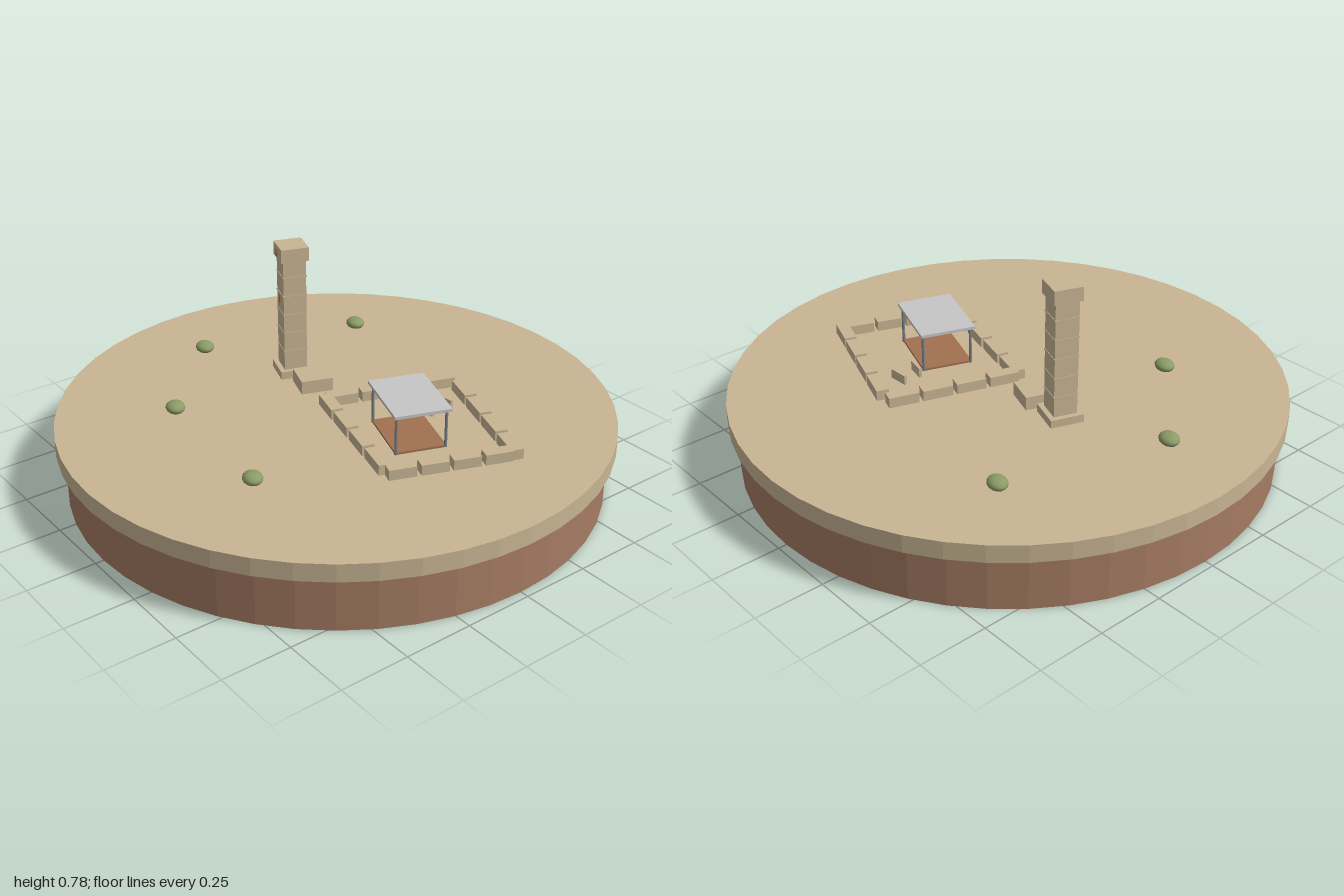
import * as THREE from 'three';

const GROUND = 0.265;
const TILT = -20 * Math.PI / 180;

export function createModel() {
  const model = new THREE.Group();
  model.name = 'ruinsDiorama';

  const mat = (name, color, flat = true) => {
    const m = new THREE.MeshStandardMaterial({ color, flatShading: flat });
    m.name = name;
    return m;
  };
  const sand = mat('sandstone', 0xc8b593);
  const earth = mat('earth', 0xa67c63);
  const clay = mat('clay', 0xa0714f);
  const green = mat('shrubGreen', 0x8a9c66, false);
  const roofGrey = mat('roofGrey', 0xc6c6c6);
  const steel = mat('steel', 0x7d838b);

  const add = (parent, name, geo, material, x, y, z, ry = 0) => {
    const mesh = new THREE.Mesh(geo, material);
    mesh.name = name;
    mesh.position.set(x, y, z);
    mesh.rotation.y = ry;
    parent.add(mesh);
    return mesh;
  };
  // Box resting on height y
  const box = (parent, name, w, h, d, material, x, y, z, ry = 0) =>
    add(parent, name, new THREE.BoxGeometry(w, h, d), material, x, y + h / 2, z, ry);
  const group = (name, x, z, ry) => {
    const g = new THREE.Group();
    g.name = name;
    g.position.set(x, GROUND, z);
    g.rotation.y = ry;
    model.add(g);
    return g;
  };

  // Round two-layer base
  add(model, 'earthBase', new THREE.CylinderGeometry(0.97, 0.97, 0.2, 48), earth, 0, 0.1, 0);
  add(model, 'sandTop', new THREE.CylinderGeometry(1, 1, 0.065, 48), sand, 0, 0.2325, 0);

  // Tower: plinth, stacked courses with thin joints, cap and windows
  const tower = group('tower', -0.318, -0.04, TILT);
  box(tower, 'plinth', 0.123, 0.03, 0.123, sand, 0, 0, 0);
  box(tower, 'shaft', 0.086, 0.44, 0.086, sand, 0, 0.025, 0);
  for (let i = 1; i <= 5; i++) {
    box(tower, 'courseLedge', 0.09, 0.005, 0.09, sand, 0, 0.03 + i * 0.073, 0);
  }
  box(tower, 'cap', 0.104, 0.051, 0.104, sand, 0, 0.46, 0);
  box(tower, 'upperWindow', 0.018, 0.028, 0.006, clay, -0.005, 0.47, 0.052);
  box(tower, 'lowerWindow', 0.014, 0.034, 0.006, clay, -0.005, 0.284, 0.0435);

  // Solid block beside the tower
  const annex = group('annex', -0.176, -0.027, TILT);
  box(annex, 'annexBlock', 0.118, 0.05, 0.118, sand, 0, 0, 0);

  // Ruined enclosure: four rows of separate blocks
  const walls = group('enclosure', 0, 0, 0);
  const rows = [
    ['backWall', 0.165, -0.433, 0.684, -0.243],
    ['leftWall', 0.134, -0.449, -0.027, 0.027],
    ['rightWall', 0.658, -0.243, 0.497, 0.182],
    ['frontWall', -0.043, 0.022, 0.489, 0.168],
  ];
  for (const [name, x0, z0, x1, z1] of rows) {
    const length = Math.hypot(x1 - x0, z1 - z0);
    const angle = name === 'frontWall' || name === 'backWall' ? TILT : -Math.atan2(z1 - z0, x1 - x0);
    const n = 4;
    for (let i = 0; i < n; i++) {
      const t = (i + 0.5) / n;
      box(walls, name, length / n - 0.015, 0.038, 0.045, sand,
        x0 + (x1 - x0) * t, 0, z0 + (z1 - z0) * t,
        name === 'frontWall' ? angle + 0.06 : angle);
    }
  }

  // Canopy over a clay floor
  const canopy = group('canopy', 0.321, -0.07, TILT);
  box(canopy, 'floor', 0.245, 0.008, 0.185, clay, 0, 0, 0);
  box(canopy, 'roof', 0.28, 0.011, 0.205, roofGrey, 0, 0.144, 0);
  const postGeo = new THREE.CylinderGeometry(0.0055, 0.0055, 0.146, 8);
  for (const sx of [-1, 1]) {
    for (const sz of [-1, 1]) add(canopy, 'post', postGeo, steel, sx * 0.119, 0.073, sz * 0.09);
  }

  // Two upright slabs behind the floor
  box(model, 'slab', 0.073, 0.035, 0.011, sand, 0.24, GROUND, -0.307, 0.04);
  box(model, 'slab', 0.068, 0.035, 0.011, sand, 0.243, GROUND, -0.226, -0.23);

  // Low shrubs
  const shrubGeo = new THREE.SphereGeometry(1, 14, 10);
  for (const [x, z] of [[-0.492, -0.476], [-0.674, 0.123], [-0.321, 0.476], [0.249, 0.535]]) {
    add(model, 'shrub', shrubGeo, green, x, 0.277, z, TILT).scale.set(0.042, 0.021, 0.035);
  }

  return model;
}
